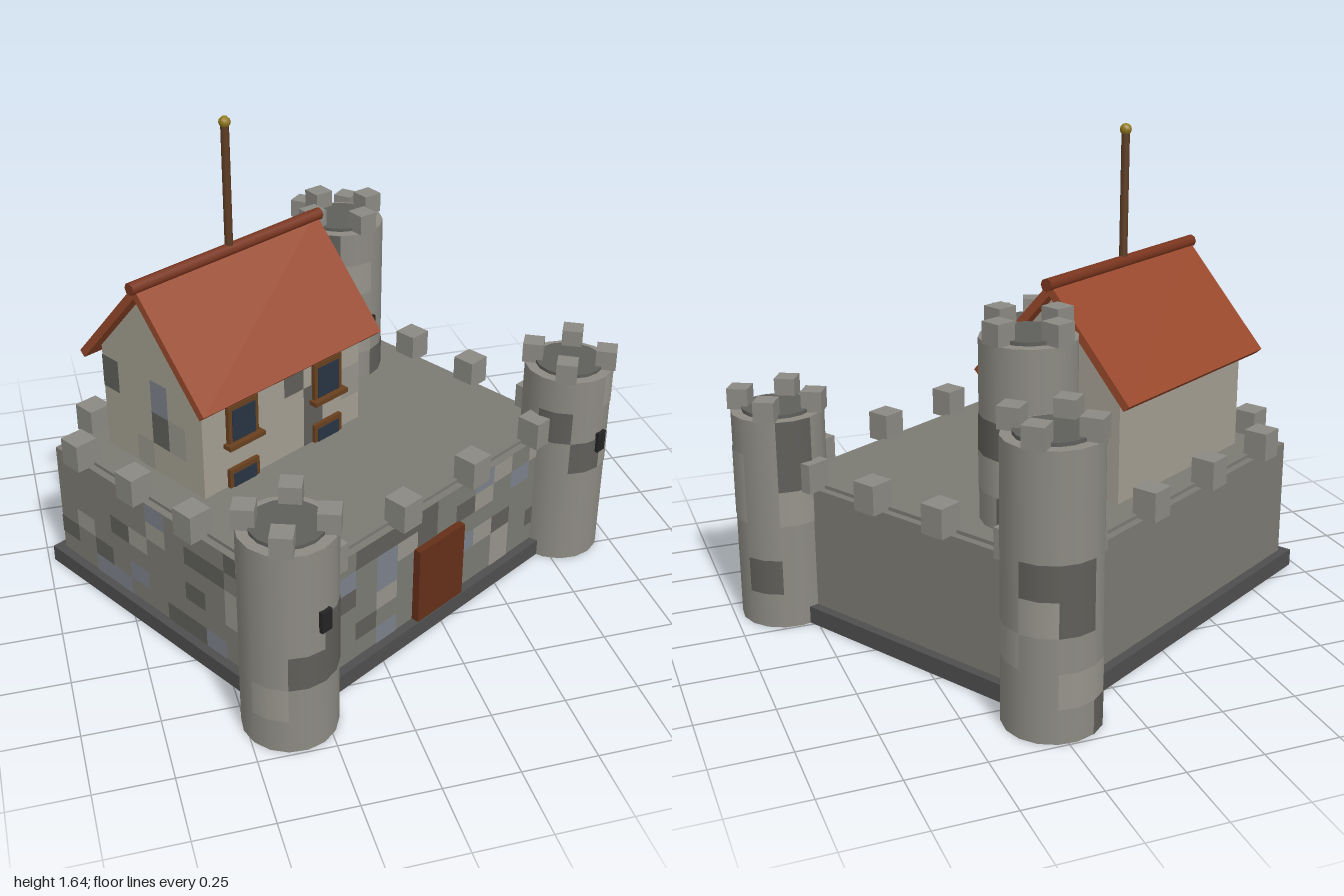
import * as THREE from 'three';

const mat = (color) => new THREE.MeshStandardMaterial({ color });
const M = {
  wall: mat(0x7b7a73), tower: mat(0x8c8a82), merlon: mat(0x8a8983), floor: mat(0x7b7b73),
  base: mat(0x4e4e4e), cap: mat(0x5e5e5b), house: mat(0xa39e91), roof: mat(0x98482b),
  ridge: mat(0x7a351e), door: mat(0x652e19), frame: mat(0x68401f), glass: mat(0x283444),
  pole: mat(0x5e3d24), ball: mat(0x93791f), slit: mat(0x242424),
  dark: mat(0x5f5e59), pale: mat(0x96948b), blue: mat(0x7c808a),
};
const STONES = [M.dark, M.pale, M.dark, M.blue];
const EPS = 0.002;

// Castle footprint
const CX = -0.05, CZ = -0.03, W = 1.36, D = 1.155, WALL_TOP = 0.48;

let seed = 7;
const rand = () => (seed = (seed * 16807) % 2147483647) / 2147483647;

function add(parent, name, geometry, material, x = 0, y = 0, z = 0) {
  const mesh = new THREE.Mesh(geometry, material);
  mesh.name = name;
  mesh.position.set(x, y, z);
  parent.add(mesh);
  return mesh;
}

const box = (parent, name, material, w, h, d, x, y, z) =>
  add(parent, name, new THREE.BoxGeometry(w, h, d), material, x, y, z);

// Scattered flat stones over a rectangle that faces +z in its own group
function stonePanel(parent, name, w, h, cols, rows, density) {
  const panel = new THREE.Group();
  panel.name = name;
  const cw = w / cols, ch = h / rows;
  for (let r = 0; r < rows; r++) {
    for (let c = 0; c < cols; c++) {
      if (rand() > density) continue;
      add(panel, 'stone', new THREE.PlaneGeometry(cw, ch), STONES[Math.floor(rand() * 4)],
        -w / 2 + (c + 0.5) * cw, (r + 0.5) * ch, 0);
    }
  }
  parent.add(panel);
  return panel;
}

// Round tower with cap, four merlons, an arrow slit and scattered stones
function tower(parent, name, x, z, bottom, top, turn) {
  const g = new THREE.Group();
  g.name = name;
  g.position.set(x, 0, z);
  parent.add(g);
  const R = 0.154, h = top - bottom;
  add(g, 'drum', new THREE.CylinderGeometry(R, R, h, 16), M.tower, 0, bottom + h / 2, 0);
  add(g, 'towerCap', new THREE.CylinderGeometry(0.118, 0.118, 0.012, 16), M.cap, 0, top + 0.006, 0);
  for (let i = 0; i < 4; i++) {
    const a = THREE.MathUtils.degToRad(turn) + i * Math.PI / 2;
    const m = box(g, 'towerMerlon', M.merlon, 0.07, 0.07, 0.07,
      0.125 * Math.cos(a), top + 0.035, -0.125 * Math.sin(a));
    m.rotation.y = a;
  }
  box(g, 'arrowSlit', M.slit, 0.04, 0.075, 0.02, 0, top * 0.65, 0.154);
  const rows = Math.round(h / 0.12), rh = h / rows;
  for (let r = 0; r < rows; r++) {
    for (let c = 0; c < 8; c++) {
      if (rand() > 0.35) continue;
      add(g, 'stone', new THREE.CylinderGeometry(R + EPS, R + EPS, rh, 2, 1, true, c * Math.PI / 4, Math.PI / 4),
        STONES[Math.floor(rand() * 2)], 0, bottom + (r + 0.5) * rh, 0);
    }
  }
}

// Extrude a (z, y) outline along x, centred on x = 0
function extrudeAlongX(points, length) {
  const shape = new THREE.Shape(points.map(([a, b]) => new THREE.Vector2(a, b)));
  const geo = new THREE.ExtrudeGeometry(shape, { depth: length, bevelEnabled: false });
  return geo.translate(0, 0, -length / 2).rotateY(Math.PI / 2);
}

function buildHouse(parent) {
  const g = new THREE.Group();
  g.name = 'house';
  g.position.set(-0.227, 0, -0.238);
  parent.add(g);

  // Gabled walls
  add(g, 'houseWalls', extrudeAlongX(
    [[-0.25, 0.47], [0.25, 0.47], [0.25, 0.873], [0, 1.148], [-0.25, 0.873]], 0.72), M.house);
  stonePanel(g, 'houseFrontStones', 0.72, 0.36, 8, 3, 0.35).position.set(0, WALL_TOP, 0.25 + EPS);
  const side = stonePanel(g, 'houseSideStones', 0.5, 0.36, 6, 3, 0.15);
  side.position.set(-0.36 - EPS, WALL_TOP, 0);
  side.rotation.y = -Math.PI / 2;

  // Roof and ridge
  add(g, 'roof', extrudeAlongX(
    [[0.314, 0.845], [0, 1.19], [-0.314, 0.845], [-0.293, 0.826], [0, 1.148], [0.293, 0.826]], 0.806), M.roof);
  const ridge = add(g, 'roofRidge', new THREE.CylinderGeometry(0.022, 0.022, 0.835, 8), M.ridge, 0, 1.185, 0);
  ridge.rotation.z = Math.PI / 2;

  // Flagpole
  add(g, 'flagpole', new THREE.CylinderGeometry(0.014, 0.014, 0.44, 8), M.pole, 0, 1.4, 0);
  add(g, 'flagpoleBall', new THREE.SphereGeometry(0.02, 8, 6), M.ball, 0, 1.625, 0);

  // Two storeys of windows, the lower one partly sunk behind the courtyard floor
  for (const x of [-0.195, 0.195]) {
    for (const y of [0.725, 0.485]) {
      box(g, 'windowFrame', M.frame, 0.13, 0.15, 0.02, x, y, 0.255);
      box(g, 'windowGlass', M.glass, 0.1, 0.115, 0.02, x, y, 0.258);
      box(g, 'windowSill', M.frame, 0.155, 0.016, 0.045, x, y - 0.07, 0.262);
    }
  }
}

export function createModel() {
  const model = new THREE.Group();
  model.name = 'castle';
  const g = new THREE.Group();
  g.name = 'castleBody';
  g.rotation.y = Math.PI / 6;
  model.add(g);

  // Plinth, curtain wall block and courtyard
  box(g, 'plinth', M.base, W + 0.064, 0.06, D + 0.064, CX, 0.03, CZ);
  box(g, 'curtainWall', M.wall, W, WALL_TOP - 0.06, D, CX, 0.06 + (WALL_TOP - 0.06) / 2, CZ);
  box(g, 'courtyardFloor', M.floor, W - 0.05, 0.012, D - 0.05, CX, WALL_TOP + 0.006, CZ);

  // Stones on the front wall and the wall facing -x
  stonePanel(g, 'frontStones', W, 0.42, 14, 6, 0.4).position.set(CX, 0.06, CZ + D / 2 + EPS);
  const left = stonePanel(g, 'sideStones', D, 0.42, 12, 6, 0.35);
  left.position.set(CX - W / 2 - EPS, 0.06, CZ);
  left.rotation.y = -Math.PI / 2;

  // Four merlons along every wall
  for (let i = 0; i < 4; i++) {
    const t = (i + 0.5) / 4 - 0.5;
    for (const s of [-1, 1]) {
      box(g, 'wallMerlon', M.merlon, 0.085, 0.1, 0.085, CX + t * W, WALL_TOP + 0.05, CZ + s * D / 2);
      box(g, 'wallMerlon', M.merlon, 0.085, 0.1, 0.085, CX + s * W / 2, WALL_TOP + 0.05, CZ + t * D);
    }
  }

  // Door
  box(g, 'door', M.door, 0.225, 0.285, 0.056, CX, 0.2025, CZ + D / 2);

  // Corner towers (one corner stays open) and the inner tower
  tower(g, 'frontTowerRight', CX - W / 2, CZ + D / 2, 0, 0.73, 40);
  tower(g, 'frontTowerLeft', CX + W / 2, CZ + D / 2, 0, 0.73, 32);
  tower(g, 'backTower', CX + W / 2, CZ - D / 2, 0, 0.905, 17);
  tower(g, 'innerTower', 0.381, -0.32, WALL_TOP, 1.08, -7);

  buildHouse(g);
  return model;
}
